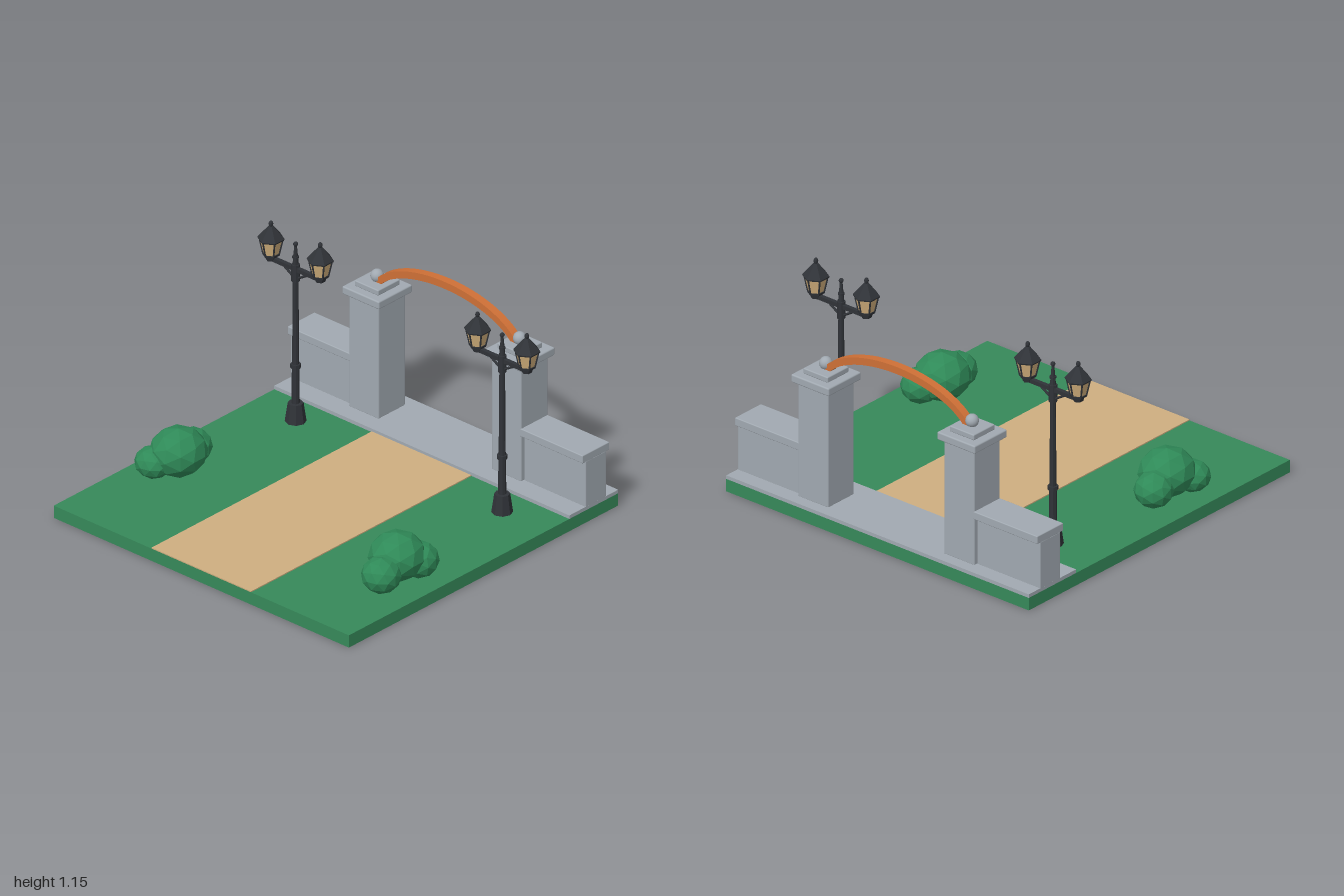
import * as THREE from 'three';
import { RoundedBoxGeometry } from 'three/addons/geometries/RoundedBoxGeometry.js';

const mat = (name, color, flat = false) => {
  const m = new THREE.MeshStandardMaterial({ color, flatShading: flat });
  m.name = name;
  return m;
};

export function createModel() {
  const grass = mat('grass green', 0x36895a);
  const leaf = mat('leaf green', 0x2f8a58, true);
  const sand = mat('path sand', 0xceae80);
  const stone = mat('stone grey', 0xa1a9b1);
  const wood = mat('arch orange', 0xcf7036);
  const iron = mat('iron black', 0x303338, true);
  const glass = mat('lamp glass', 0xd2b07c, true);

  const model = new THREE.Group();
  model.name = 'parkEntrance';

  const add = (parent, name, geo, material, x = 0, y = 0, z = 0) => {
    const m = new THREE.Mesh(geo, material);
    m.name = name;
    m.position.set(x, y, z);
    parent.add(m);
    return m;
  };
  // Box given by its bottom height; r > 0 softens the edges
  const box = (parent, name, w, h, d, material, x, y, z, r = 0) =>
    add(parent, name, r ? new RoundedBoxGeometry(w, h, d, 2, r) : new THREE.BoxGeometry(w, h, d),
      material, x, y + h / 2, z);
  // Tapered cylinder between two heights
  const taper = (parent, name, rBottom, rTop, y0, y1, material, sides = 8) =>
    add(parent, name, new THREE.CylinderGeometry(rTop, rBottom, y1 - y0, sides), material, 0, (y0 + y1) / 2, 0);
  // Round bar between two points
  const bar = (parent, name, a, b, r, material) => {
    const dir = b.clone().sub(a);
    const m = add(parent, name, new THREE.CylinderGeometry(r, r, dir.length(), 6), material);
    m.position.copy(a).add(b).multiplyScalar(0.5);
    m.quaternion.setFromUnitVectors(new THREE.Vector3(0, 1, 0), dir.normalize());
    return m;
  };
  const V = (x, y, z = 0) => new THREE.Vector3(x, y, z);

  // Ground slab, path and pavement
  box(model, 'ground', 2, 0.07, 2, grass, 0, 0, 0);
  box(model, 'path', 0.674, 0.006, 1.635, sand, 0, 0.07, 0.1825);
  box(model, 'pavement', 2, 0.02, 0.363, stone, 0, 0.07, -0.8185);

  // Gate pillars with side walls
  const gateZ = -0.835;
  for (const s of [-1, 1]) {
    const gate = new THREE.Group();
    gate.name = s > 0 ? 'leftGatePost' : 'rightGatePost';
    gate.position.set(s * 0.483, 0, gateZ);
    model.add(gate);
    box(gate, 'pillar', 0.2, 0.65, 0.2, stone, 0, 0.085, 0, 0.008);
    box(gate, 'pillarCap', 0.25, 0.045, 0.25, stone, 0, 0.73, 0, 0.008);
    box(gate, 'pillarCapTop', 0.162, 0.032, 0.162, stone, 0, 0.775, 0, 0.006);
    add(gate, 'pillarBall', new THREE.SphereGeometry(0.035, 16, 12), stone, 0, 0.832, 0);
    box(gate, 'wall', 0.417, 0.265, 0.155, stone, s * 0.3085, 0.085, 0, 0.006);
    box(gate, 'wallCoping', 0.437, 0.045, 0.2, stone, s * 0.2985, 0.345, 0, 0.005);
  }

  // Curved beam between the pillars, an elliptical band
  const arch = new THREE.Shape();
  const end = 0.3;
  arch.absellipse(0, 0.72, 0.516, 0.26, end, Math.PI - end, false);
  arch.absellipse(0, 0.72, 0.476, 0.22, Math.PI - end, end, true);
  arch.closePath();
  add(model, 'arch', new THREE.ExtrudeGeometry(arch, { depth: 0.044, bevelEnabled: false, curveSegments: 32 }),
    wood, 0, 0, gateZ - 0.022);

  // One lantern: hexagonal glass, corner struts, roof and finial
  const lantern = (parent, x) => {
    const g = new THREE.Group();
    g.name = 'lantern';
    g.position.x = x;
    parent.add(g);
    taper(g, 'lanternSocket', 0.026, 0.034, 0.93, 0.957, iron, 6);
    taper(g, 'lanternFloor', 0.043, 0.046, 0.955, 0.968, iron, 6);
    taper(g, 'lanternGlass', 0.04, 0.06, 0.966, 1.05, glass, 6);
    for (let i = 0; i < 6; i++) {
      const c = Math.sin(i * Math.PI / 3), d = Math.cos(i * Math.PI / 3);
      bar(g, 'lanternStrut', V(c * 0.041, 0.96, d * 0.041), V(c * 0.061, 1.052, d * 0.061), 0.0045, iron);
    }
    taper(g, 'lanternEaves', 0.067, 0.07, 1.045, 1.053, iron, 6);
    taper(g, 'lanternRoof', 0.07, 0.022, 1.053, 1.11, iron, 6);
    taper(g, 'lanternRoofCap', 0.022, 0.012, 1.11, 1.122, iron, 6);
    add(g, 'lanternFinial', new THREE.SphereGeometry(0.012, 8, 6), iron, 0, 1.135, 0).scale.y = 1.4;
  };

  // Street lamps with two lanterns each
  for (const s of [-1, 1]) {
    const lamp = new THREE.Group();
    lamp.name = s > 0 ? 'leftStreetLamp' : 'rightStreetLamp';
    lamp.position.set(s * 0.7, 0, -0.467);
    model.add(lamp);
    taper(lamp, 'lampBase', 0.055, 0.04, 0.07, 0.175, iron);
    taper(lamp, 'lowerPost', 0.021, 0.019, 0.17, 0.38, iron);
    taper(lamp, 'postRing', 0.027, 0.027, 0.375, 0.397, iron);
    taper(lamp, 'upperPost', 0.018, 0.014, 0.39, 0.95, iron);
    taper(lamp, 'armCollar', 0.022, 0.022, 0.87, 0.965, iron);
    taper(lamp, 'spire', 0.016, 0.007, 0.96, 1.07, iron);
    taper(lamp, 'spireRing', 0.017, 0.017, 1.0, 1.012, iron);
    add(lamp, 'spireBall', new THREE.SphereGeometry(0.013, 8, 6), iron, 0, 1.08, 0);
    box(lamp, 'crossArm', 0.37, 0.022, 0.022, iron, 0, 0.928, 0);
    for (const t of [-1, 1]) {
      bar(lamp, 'armBrace', V(0, 0.88), V(t * 0.09, 0.935), 0.007, iron);
      lantern(lamp, t * 0.167);
    }
  }

  // Faceted bushes: centre x, y, z then radii x, y, z
  const bushes = {
    rightBush: [
      [-0.772, 0.192, 0.325, 0.147, 0.13, 0.156],
      [-0.805, 0.155, 0.185, 0.104, 0.095, 0.104],
      [-0.84, 0.15, 0.435, 0.1, 0.083, 0.096]],
    leftBush: [
      [0.768, 0.192, 0.387, 0.147, 0.13, 0.152],
      [0.83, 0.155, 0.292, 0.104, 0.095, 0.104],
      [0.8, 0.155, 0.54, 0.104, 0.095, 0.104]],
  };
  for (const [name, lobes] of Object.entries(bushes)) {
    const bush = new THREE.Group();
    bush.name = name;
    model.add(bush);
    lobes.forEach(([x, y, z, rx, ry, rz], i) => {
      const geo = new THREE.IcosahedronGeometry(1, 1);
      geo.rotateY(i * 0.9 + 0.3);
      geo.scale(rx, ry, rz);
      add(bush, 'foliage', geo, leaf, x, y, z);
    });
  }
  return model;
}
